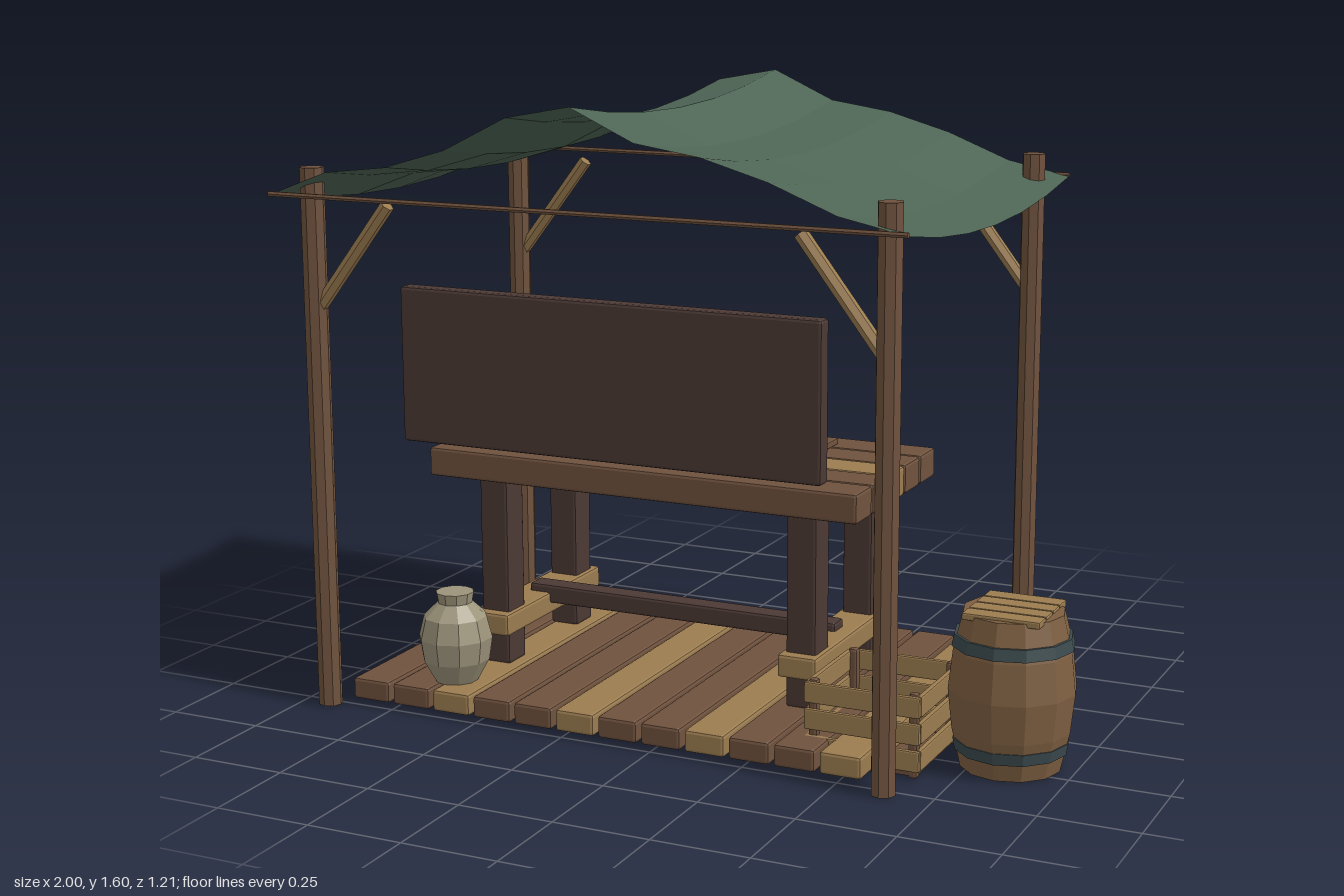
import * as THREE from 'three';
import { RoundedBoxGeometry } from 'three/addons/geometries/RoundedBoxGeometry.js';

const colours = {
  brownWood: 0x6f523e, tanWood: 0x9b7c50, darkWood: 0x4b3934, staveWood: 0x7f6042,
  canvas: 0x4e6555, darkIron: 0x3b4a4e, steel: 0x7c8a8b, clay: 0x9c937a, lampGlow: 0xb48e55,
};

export function createModel() {
  const model = new THREE.Group();
  model.name = 'marketWorkshopStall';
  const mat = {};
  for (const [name, color] of Object.entries(colours)) {
    mat[name] = new THREE.MeshStandardMaterial({ color });
    mat[name].name = name;
  }
  mat.canvas.side = THREE.DoubleSide;

  // Faceted mesh helper
  function add(parent, name, geometry, material, x = 0, y = 0, z = 0) {
    const g = geometry.index ? geometry.toNonIndexed() : geometry;
    g.computeVertexNormals();
    const mesh = new THREE.Mesh(g, mat[material]);
    mesh.name = name;
    mesh.position.set(x, y, z);
    parent.add(mesh);
    return mesh;
  }
  // Chamfered box given by its limits on each axis
  function box(parent, name, material, [x0, x1], [y0, y1], [z0, z1], bevel = 0.008) {
    const w = x1 - x0, h = y1 - y0, d = z1 - z0;
    const r = Math.min(bevel, Math.min(w, h, d) * 0.3);
    return add(parent, name, new RoundedBoxGeometry(w, h, d, 1, r), material,
      (x0 + x1) / 2, (y0 + y1) / 2, (z0 + z1) / 2);
  }
  // Round bar between two points
  function bar(parent, name, material, a, b, r, sides = 6) {
    const p = new THREE.Vector3(...a), q = new THREE.Vector3(...b);
    const dir = q.clone().sub(p);
    const mesh = add(parent, name, new THREE.CylinderGeometry(r, r, dir.length(), sides), material);
    mesh.position.copy(p).add(q).multiplyScalar(0.5);
    mesh.quaternion.setFromUnitVectors(new THREE.Vector3(0, 1, 0), dir.normalize());
    return mesh;
  }
  function lathe(parent, name, material, points, sides, x, y, z) {
    const pts = points.map(([r, h]) => new THREE.Vector2(r, h));
    return add(parent, name, new THREE.LatheGeometry(pts, sides), material, x, y, z);
  }
  function group(name, x = 0, y = 0, z = 0) {
    const g = new THREE.Group();
    g.name = name;
    g.position.set(x, y, z);
    model.add(g);
    return g;
  }

  // Posts, corner braces and ropes
  const frame = group('frame');
  for (const z of [-0.52, 0.52]) {
    for (const [x, s] of [[-0.925, 1], [0.627, -1]]) {
      bar(frame, 'post', 'brownWood', [x, 0, z], [x, 1.41, z], 0.031, 8);
      bar(frame, 'brace', 'tanWood', [x + s * 0.015, 1.06, z], [x + s * 0.22, 1.325, z], 0.018);
    }
    const edge = Math.sign(z) * 0.6;
    bar(frame, 'rope', 'brownWood', [-1, 1.348, edge], [0.7, 1.348, edge], 0.007);
  }

  // Canopy: ridge profile along x, sagging between front and back
  const ridge = [1.345, 1.41, 1.43, 1.48, 1.565, 1.597, 1.52, 1.495, 1.447, 1.38, 1.345];
  const canopy = new THREE.PlaneGeometry(1.7, 1.2, 10, 6).rotateX(-Math.PI / 2);
  const cp = canopy.attributes.position;
  for (let i = 0; i < cp.count; i++) {
    const z = cp.getZ(i) / 0.6;
    cp.setY(i, ridge[i % 11] - 0.052 * (1 - z * z));
  }
  add(model, 'canopy', canopy, 'canvas', -0.15);

  // Floor planks
  const floor = group('floor');
  for (let i = 0; i < 12; i++) {
    const x = -0.8125 + i * 0.12;
    box(floor, 'floorPlank', i % 3 === 2 ? 'tanWood' : 'brownWood',
      [x - 0.054, x + 0.054], [0.015, 0.072], [-0.5, 0.5]);
  }

  // Workbench
  const bench = group('workbench');
  for (let i = -2; i <= 2; i++) {
    box(bench, 'topPlank', i === 0 ? 'tanWood' : 'brownWood',
      [-0.755, 0.455], [0.577, 0.654], [i * 0.112 - 0.052, i * 0.112 + 0.052]);
  }
  for (const x of [-0.59, 0.29]) {
    for (const z of [-0.188, 0.188]) {
      box(bench, 'leg', 'darkWood', [x - 0.041, x + 0.041], [0.07, 0.58], [z - 0.044, z + 0.044]);
    }
    box(bench, 'sideRail', 'tanWood', [x - 0.053, x + 0.053], [0.155, 0.215], [-0.26, 0.26]);
  }
  box(bench, 'longStretcher', 'darkWood', [-0.6, 0.3], [0.185, 0.237], [-0.03, 0.03]);

  // Hanging board with a row of hammers on the back
  const board = group('toolBoard');
  box(board, 'boardPanel', 'darkWood', [-0.725, 0.43], [0.71, 1.11], [0.398, 0.445]);
  for (let i = 0; i < 6; i++) {
    const x = -0.56 + i * 0.165;
    bar(board, 'hangingHandle', 'tanWood', [x, 0.78, 0.38], [x, 1.0, 0.38], 0.011);
    box(board, 'hangingHead', 'steel', [x - 0.045, x + 0.045], [0.985, 1.042], [0.357, 0.397]);
  }

  // Work mat, hammer and tongs on the bench
  const tools = group('benchTools');
  box(tools, 'workMat', 'brownWood', [-0.305, 0.21], [0.654, 0.671], [-0.205, 0.08], 0.004);
  box(tools, 'hammerHead', 'steel', [-0.2, -0.1], [0.672, 0.755], [-0.16, -0.015], 0.015);
  bar(tools, 'hammerHandle', 'tanWood', [-0.11, 0.7, -0.08], [0.14, 0.7, -0.13], 0.014);
  bar(tools, 'tongArm', 'steel', [-0.24, 0.69, 0.02], [0.11, 0.69, 0.065], 0.01);
  bar(tools, 'tongArm', 'steel', [-0.24, 0.69, 0.065], [0.11, 0.69, -0.03], 0.01);

  // Vise on the rear corner of the bench
  const vise = group('vise');
  box(vise, 'viseBlock', 'darkIron', [-0.675, -0.505], [0.63, 0.755], [-0.315, -0.167], 0.014);
  bar(vise, 'viseScrew', 'steel', [-0.59, 0.68, -0.31], [-0.59, 0.68, -0.44], 0.02, 8);

  // Lantern
  const lantern = group('lantern', -0.78, 0, -0.258);
  box(lantern, 'lanternBase', 'darkIron', [-0.045, 0.045], [0.69, 0.71], [-0.045, 0.045]);
  box(lantern, 'lanternGlass', 'lampGlow', [-0.032, 0.032], [0.71, 0.82], [-0.032, 0.032]);
  for (const x of [-0.037, 0.037]) {
    for (const z of [-0.037, 0.037]) {
      bar(lantern, 'lanternPost', 'darkIron', [x, 0.7, z], [x, 0.84, z], 0.006);
    }
    bar(lantern, 'lanternHandle', 'darkIron', [x * 0.85, 0.85, 0], [0, 0.91, 0], 0.005);
  }
  box(lantern, 'lanternCap', 'darkIron', [-0.047, 0.047], [0.835, 0.85], [-0.047, 0.047]);
  const roof = new THREE.CylinderGeometry(0.035, 0.058, 0.014, 4).rotateY(Math.PI / 4);
  add(lantern, 'lanternRoof', roof, 'darkIron', 0, 0.856, 0);

  // Barrel with hoops and a plank lid
  const barrel = group('barrel', 0.838, 0, 0.205);
  lathe(barrel, 'barrelBody', 'staveWood', [[0, 0], [0.125, 0], [0.148, 0.1], [0.159, 0.2],
    [0.148, 0.3], [0.125, 0.395], [0, 0.395]], 12, 0, 0, 0);
  for (const [y, lower, upper] of [[0.045, 0.138, 0.143], [0.308, 0.15, 0.144]]) {
    lathe(barrel, 'barrelHoop', 'darkIron', [[lower - 0.02, 0], [lower + 0.002, 0],
      [upper + 0.002, 0.03], [upper - 0.02, 0.03]], 12, 0, y, 0);
  }
  for (let i = 0; i < 4; i++) {
    const z = (i - 1.5) * 0.054;
    box(barrel, 'lidPlank', 'tanWood', [-0.098, 0.098], [0.385, 0.403], [z - 0.025, z + 0.025], 0.004);
  }

  // Slatted crate
  const crate = group('crate', 0.525, 0, 0.26);
  box(crate, 'crateBase', 'brownWood', [-0.14, 0.14], [0.005, 0.02], [-0.14, 0.14]);
  for (const sx of [-1, 1]) {
    for (const sz of [-1, 1]) {
      const x = sx * 0.13, z = sz * 0.13;
      box(crate, 'cratePost', 'brownWood', [x - 0.012, x + 0.012], [0, 0.215], [z - 0.012, z + 0.012]);
    }
  }
  for (const y of [0.02, 0.088, 0.156]) {
    for (const s of [-1, 1]) {
      const c = s * 0.144;
      box(crate, 'crateSlat', 'tanWood', [-0.15, 0.15], [y, y + 0.053], [c - 0.007, c + 0.007]);
      box(crate, 'crateSideSlat', 'tanWood', [c - 0.007, c + 0.007], [y, y + 0.053], [-0.137, 0.137]);
    }
  }

  // Clay jar
  lathe(model, 'clayJar', 'clay', [[0, 0], [0.055, 0], [0.088, 0.06], [0.097, 0.12], [0.083, 0.175],
    [0.045, 0.212], [0.05, 0.24], [0, 0.24]], 10, -0.615, 0.07, 0.395);

  return model;
}
